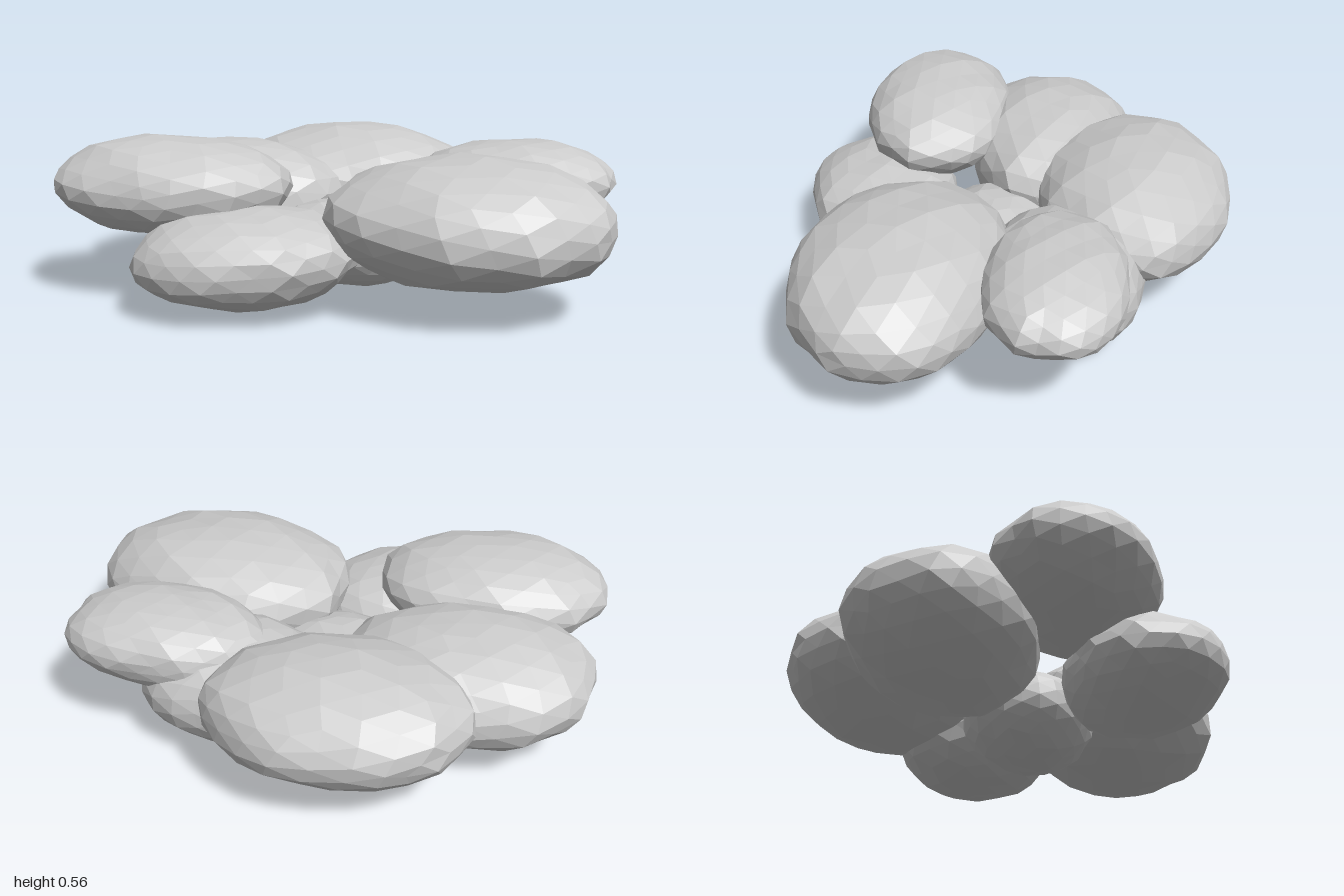
import * as THREE from 'three';

// name, box x min/max, y min/max, z min/max, yaw, roll, seed
const LOBES = [
  ['frontLeftLobe', -0.02, 0.95, 0.09, 0.535, 0.05, 0.80, -0.35, 0, 1],
  ['rightLobe', -1.00, -0.15, 0.22, 0.565, -0.04, 0.555, -0.12, 0, 2],
  ['leftLobe', 0.25, 1.00, 0.21, 0.515, -0.33, 0.165, -0.2, 0.04, 3],
  ['backLobe', -0.47, 0.48, 0.10, 0.515, -0.80, -0.08, -0.2, 0, 4],
  ['backRightLobe', -0.92, 0.01, 0.07, 0.49, -0.51, 0.14, -0.08, 0, 5],
  ['frontRightLobe', -0.66, 0.10, 0.02, 0.36, 0.21, 0.78, 0.2, 0.04, 6],
  ['lowerMiddleLobe', -0.25, 0.33, 0.00, 0.31, -0.16, 0.32, -0.1, -0.08, 7],
  ['lowerLeftLobe', 0.03, 0.72, 0.02, 0.42, -0.43, 0.15, -0.15, 0.06, 8],
];

// Lumpy faceted ball, turned and then fitted to its box
function lobeGeometry(box, yaw, roll, seed) {
  const geo = new THREE.IcosahedronGeometry(1, 3);
  const pos = geo.attributes.position;
  const v = new THREE.Vector3();
  geo.rotateX(seed * 1.3);
  geo.rotateZ(seed * 0.7);
  for (let i = 0; i < pos.count; i++) {
    v.fromBufferAttribute(pos, i);
    const lump = 0.015 * Math.sin(4 * v.x + seed * 2.1) + 0.015 * Math.sin(4.5 * v.z + seed * 3.7)
      + 0.015 * Math.sin(5 * v.y + 3 * v.x + seed * 1.9) + 0.02 * Math.sin(9 * v.x - 8 * v.z + seed);
    // slightly fuller than an ellipsoid
    const full = Math.pow(Math.abs(v.x) ** 2.1 + Math.abs(v.y) ** 2.1 + Math.abs(v.z) ** 2.1, -1 / 2.1);
    v.multiplyScalar(full * (1 + lump));
    pos.setXYZ(i, v.x, v.y, v.z);
  }
  const size = box.getSize(new THREE.Vector3());
  geo.scale(size.x, size.y, size.z);
  geo.rotateZ(roll);
  geo.rotateY(yaw);
  geo.computeBoundingBox();
  const ownSize = geo.boundingBox.getSize(new THREE.Vector3());
  geo.center();
  geo.scale(size.x / ownSize.x, size.y / ownSize.y, size.z / ownSize.z);
  geo.computeVertexNormals();
  return geo;
}

export function createModel() {
  const group = new THREE.Group();
  group.name = 'lobedCluster';
  const material = new THREE.MeshStandardMaterial({ color: 0xcccccc, flatShading: true });
  for (const [name, x0, x1, y0, y1, z0, z1, yaw, roll, seed] of LOBES) {
    const box = new THREE.Box3(new THREE.Vector3(x0, y0, z0), new THREE.Vector3(x1, y1, z1));
    const mesh = new THREE.Mesh(lobeGeometry(box, yaw, roll, seed), material);
    mesh.name = name;
    box.getCenter(mesh.position);
    group.add(mesh);
  }
  return group;
}
